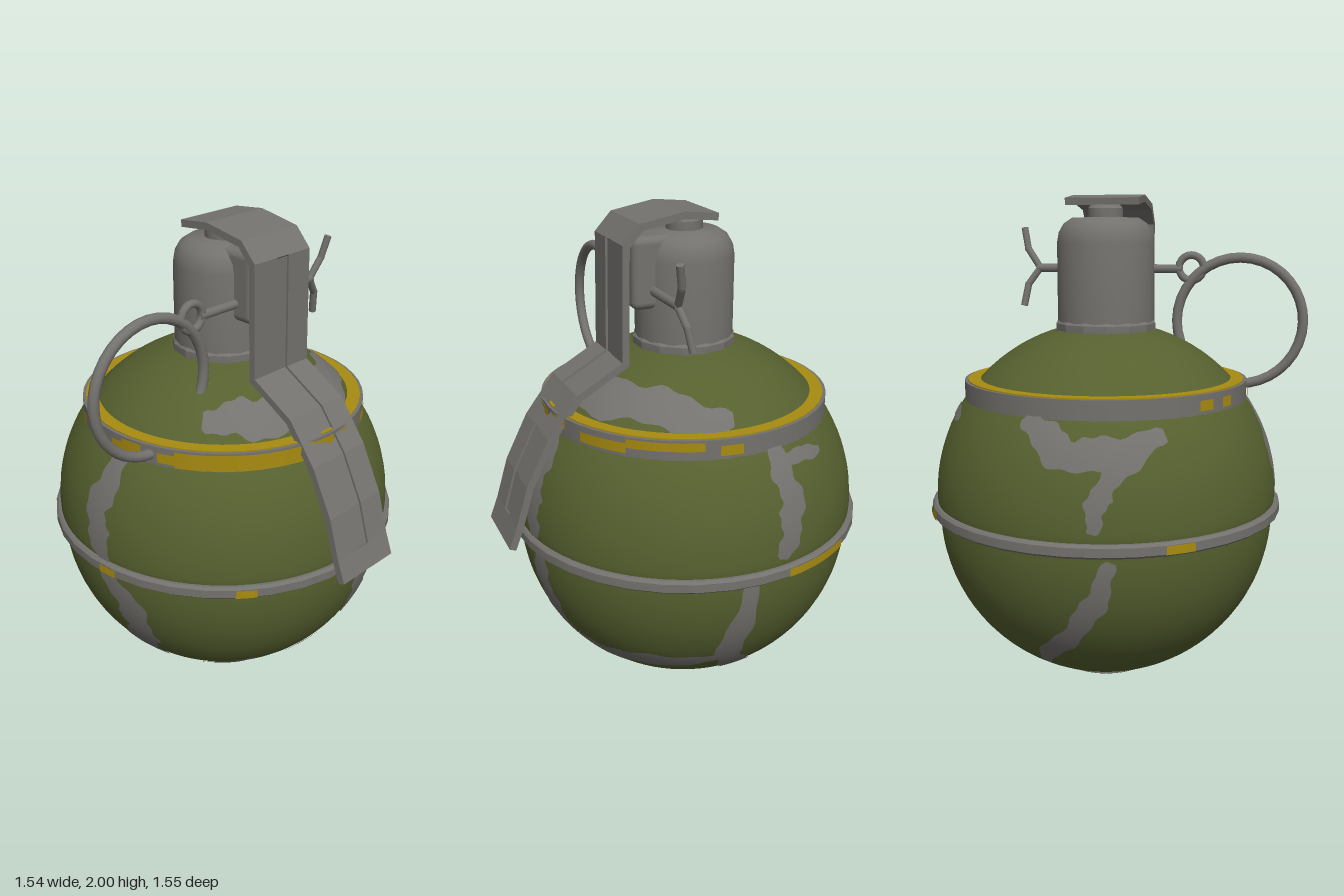
import * as THREE from 'three';
import { toCreasedNormals } from 'three/addons/utils/BufferGeometryUtils.js';
import { RoundedBoxGeometry } from 'three/addons/geometries/RoundedBoxGeometry.js';

const AXIS = -0.045; // x and z of the body's axis
const UPPER = { y: 0.78, r: 0.71 }, LOWER = { y: 0.705, r: 0.70 };
const SEAM = 0.74;

export function createModel() {
  const material = (name, color) => Object.assign(new THREE.MeshStandardMaterial({ color }), { name });
  const green = material('olive paint', 0x56602f);
  const grey = material('bare metal', 0x74726e);
  const yellow = material('yellow paint', 0xa88b10);

  const model = new THREE.Group();
  const body = new THREE.Group();
  body.name = 'body';
  body.position.set(AXIS, 0, AXIS);
  model.add(body);

  const add = (parent, name, geometry, mat) => {
    const mesh = new THREE.Mesh(geometry, mat);
    mesh.name = name;
    parent.add(mesh);
    return mesh;
  };
  const lathe = (points, sides, crease = 0.6) => toCreasedNormals(
    new THREE.LatheGeometry(points.map(p => new THREE.Vector2(...p)), sides), crease);

  // Shell: two slightly different half spheres
  const profile = [];
  const arc = (s, from, to) => {
    for (let i = 0; i <= 24; i++) {
      const a = from + (to - from) * i / 24;
      profile.push(new THREE.Vector2(Math.max(0, s.r * Math.cos(a)), s.y + s.r * Math.sin(a)));
    }
  };
  arc(LOWER, -Math.PI / 2, Math.asin((SEAM - LOWER.y) / LOWER.r));
  arc(UPPER, Math.asin((SEAM - UPPER.y) / UPPER.r), Math.PI / 2);
  add(body, 'shell', new THREE.LatheGeometry(profile, 72), green);

  // Rings around the shell
  add(body, 'middleRing', lathe([[0.66, 0.711], [0.722, 0.711], [0.732, 0.72], [0.732, 0.754],
    [0.722, 0.764], [0.66, 0.764]], 36), grey);
  add(body, 'upperBand', lathe([[0.5, 1.183], [0.583, 1.183], [0.583, 1.262], [0.48, 1.262]], 48), grey);
  add(body, 'upperBandPaint', lathe([[0.57, 1.26], [0.57, 1.266], [0.497, 1.266], [0.497, 1.26]], 48), yellow);
  add(body, 'footRing', lathe([[0.12, 0.016], [0.2, 0.016], [0.21, 0.022], [0.21, 0.036], [0.16, 0.042]], 32), grey);

  // Worn paint: wandering ribbons laid on the shell along [angle, y] points
  const shellAt = y => (y > SEAM ? UPPER : LOWER);
  const ballPoint = (angle, y) => {
    const s = shellAt(y), r = Math.sqrt(s.r ** 2 - (y - s.y) ** 2);
    return new THREE.Vector3(r * Math.sin(angle), y, r * Math.cos(angle));
  };
  const wear = (width, ...points) => {
    const curve = new THREE.CatmullRomCurve3(points.map(p => new THREE.Vector3(...p, 0)), false, 'centripetal');
    const steps = points.length * 10, across = 6, positions = [], normals = [], index = [];
    const at = t => { const p = curve.getPoint(t); return ballPoint(p.x, p.y); };
    for (let i = 0; i <= steps; i++) {
      const t = i / steps, c = at(t), s = shellAt(c.y);
      const centre = new THREE.Vector3(0, s.y, 0);
      const tangent = at(Math.min(1, t + 0.01)).sub(at(Math.max(0, t - 0.01)));
      const side = c.clone().sub(centre).cross(tangent).normalize();
      const taper = width * (0.35 + 0.65 * Math.sqrt(Math.abs(Math.sin(Math.PI * t))));
      const edge = k => taper * (1 + 0.2 * Math.sin(i * 0.55 + points[0][0] * 9 + k) + 0.12 * Math.sin(i * 1.3 + 3 * k));
      for (let j = 0; j <= across; j++) {
        const p = c.clone().addScaledVector(side, THREE.MathUtils.lerp(-edge(0), edge(2), j / across));
        p.sub(centre).normalize();
        normals.push(...p);
        positions.push(...p.multiplyScalar(s.r + 0.004).add(centre));
        if (i < steps && j < across) {
          const k = i * (across + 1) + j, m = k + across + 1;
          index.push(k, m, m + 1, k, m + 1, k + 1);
        }
      }
    }
    const g = new THREE.BufferGeometry();
    g.setAttribute('position', new THREE.Float32BufferAttribute(positions, 3));
    g.setAttribute('normal', new THREE.Float32BufferAttribute(normals, 3));
    g.setIndex(index);
    add(body, 'wornPatch', g, grey);
  };
  // front
  wear(0.06, [0.1, 1.21], [0, 0.95], [0.08, 0.75]);
  wear(0.072, [0.06, 0.72], [0.24, 0.5], [0.2, 0.3], [0.24, 0.13]);
  wear(0.035, [0.2, 0.18], [0.6, 0.17], [1.05, 0.26]);
  // shoulder
  wear(0.09, [3.1, 1.29], [2.3, 1.34], [1.15, 1.335], [0.62, 1.33]);
  // right flank
  wear(0.065, [1.75, 1.18], [1.7, 0.95], [1.75, 0.77]);
  wear(0.06, [1.76, 0.73], [1.78, 0.5], [1.84, 0.28]);
  wear(0.06, [1.5, 0.27], [2.2, 0.28], [3, 0.32]);
  wear(0.035, [1.75, 0.28], [1.4, 0.24], [1.3, 0.17], [0.85, 0.14]);
  // back
  wear(0.055, [3.32, 1.2], [3.36, 0.98], [3.28, 0.79]);
  wear(0.03, [3.3, 1.15], [3.72, 1.13]);
  wear(0.06, [3.1, 0.73], [3.05, 0.3], [3.4, 0.13], [4.1, 0.14]);
  // left flank
  wear(0.065, [4.4, 1.19], [4.75, 1.07], [5.28, 1.13]);
  wear(0.04, [5.2, 1.12], [4.9, 0.95], [4.85, 0.8]);
  wear(0.045, [4.95, 0.69], [4.8, 0.45], [4.35, 0.16]);

  // Yellow paint left on the rings, as [start, end] angles
  const paint = (radius, bottom, top, ...spans) => spans.forEach(([a, b]) => {
    const g = new THREE.CylinderGeometry(radius, radius, top - bottom, Math.ceil((b - a) * 14), 1, true, a, b - a);
    add(body, 'ringPaint', g.translate(0, (bottom + top) / 2, 0), yellow);
  });
  paint(0.588, 1.19, 1.256, [0.08, 0.24], [0.48, 1.6]);
  paint(0.588, 1.2, 1.24, [-0.72, -0.6], [-0.5, -0.4], [-0.02, 0.08], [0.36, 0.48], [2, 2.35], [2.95, 3.1]);
  paint(0.588, 1.222, 1.256, [1.68, 1.85], [2.35, 2.85]);
  paint(0.736, 0.72, 0.754, [0.07, 0.18], [-1.06, -0.9], [0.86, 0.97], [3.3, 3.75]);

  // Fuse housing: collar, rounded head and striker cap
  add(body, 'collar', lathe([[0.2, 1.4], [0.207, 1.448], [0.207, 1.488], [0.196, 1.5], [0.15, 1.5]], 14, 0.2), grey);
  add(body, 'fuseHead', lathe([[0.197, 1.45], [0.197, 1.81], [0.19, 1.85], [0.17, 1.885], [0.135, 1.908], [0, 1.912]], 28, 0.7), grey);
  add(body, 'strikerCap', lathe([[0.072, 1.9], [0.072, 1.945], [0.05, 1.968], [0, 1.968]], 16), grey);
  add(model, 'leverHousing', new RoundedBoxGeometry(0.2, 0.28, 0.21, 3, 0.03), grey).position.set(0.11, 1.768, AXIS);

  // Safety lever: bent strip with a shallow groove
  const leverPath = [[-0.12, 1.985], [0.02, 2.0], [0.2, 1.968], [0.268, 1.894], [0.278, 1.448], [0.464, 1.342],
    [0.586, 1.183], [0.68, 1.0], [0.73, 0.838], [0.765, 0.748]].map(p => new THREE.Vector2(...p));
  const lever = new THREE.Group();
  lever.name = 'safetyLever';
  model.add(lever);
  const strip = (name, path, top, bottom, z0, z1) => {
    // shift the path inwards, mitred at each bend
    const inset = d => path.map((p, i) => {
      const before = path[Math.max(1, i)].clone().sub(path[Math.max(1, i) - 1]).normalize();
      const next = Math.min(path.length - 1, i + 1);
      const after = path[next].clone().sub(path[next - 1]).normalize();
      const t = before.clone().add(after).normalize(), k = d / t.dot(before);
      return new THREE.Vector2(p.x + t.y * k, p.y - t.x * k);
    });
    const shape = new THREE.Shape([...inset(top), ...inset(bottom).reverse()]);
    const g = new THREE.ExtrudeGeometry(shape, { depth: z1 - z0, bevelEnabled: false });
    add(lever, name, g.translate(0, 0, z0), grey);
  };
  strip('leverBase', leverPath, 0.009, 0.028, -0.195, 0.105);
  strip('leverRail', leverPath, 0, 0.01, -0.195, -0.078);
  strip('leverRail', leverPath, 0, 0.01, -0.012, 0.105);
  strip('leverTop', leverPath.slice(0, 4), 0, 0.01, -0.078, -0.012);
  strip('leverTip', leverPath.slice(-2), 0, 0.01, -0.078, -0.012);

  // Safety pin with splayed legs, eye and pull ring
  const pin = new THREE.Group();
  pin.name = 'safetyPin';
  pin.position.x = 0.126;
  model.add(pin);
  const rod = (name, radius, ...points) => {
    for (let i = 1; i < points.length; i++) {
      const a = new THREE.Vector3(...points[i - 1]), b = new THREE.Vector3(...points[i]);
      const m = add(pin, name, new THREE.CylinderGeometry(radius, radius, a.distanceTo(b) + 0.012, 10), grey);
      m.position.copy(a).add(b).multiplyScalar(0.5);
      m.quaternion.setFromUnitVectors(new THREE.Vector3(0, 1, 0), b.sub(a).normalize());
    }
  };
  rod('pinShaft', 0.018, [0, 1.7, 0.24], [0, 1.7, -0.375]);
  rod('pinLeg', 0.015, [0, 1.7, -0.37], [0.01, 1.78, -0.425], [0.025, 1.862, -0.443]);
  rod('pinLeg', 0.015, [0, 1.7, -0.37], [-0.015, 1.63, -0.42], [-0.03, 1.545, -0.435]);
  const hoop = (name, radius, tube, y, z, sides) => {
    const m = add(pin, name, new THREE.TorusGeometry(radius, tube, 10, sides), grey);
    m.rotation.y = Math.PI / 2;
    m.position.set(0, y, z);
  };
  hoop('pinEye', 0.052, 0.016, 1.705, 0.285, 20);
  hoop('pullRing', 0.263, 0.021, 1.485, 0.49, 36);

  return model;
}
